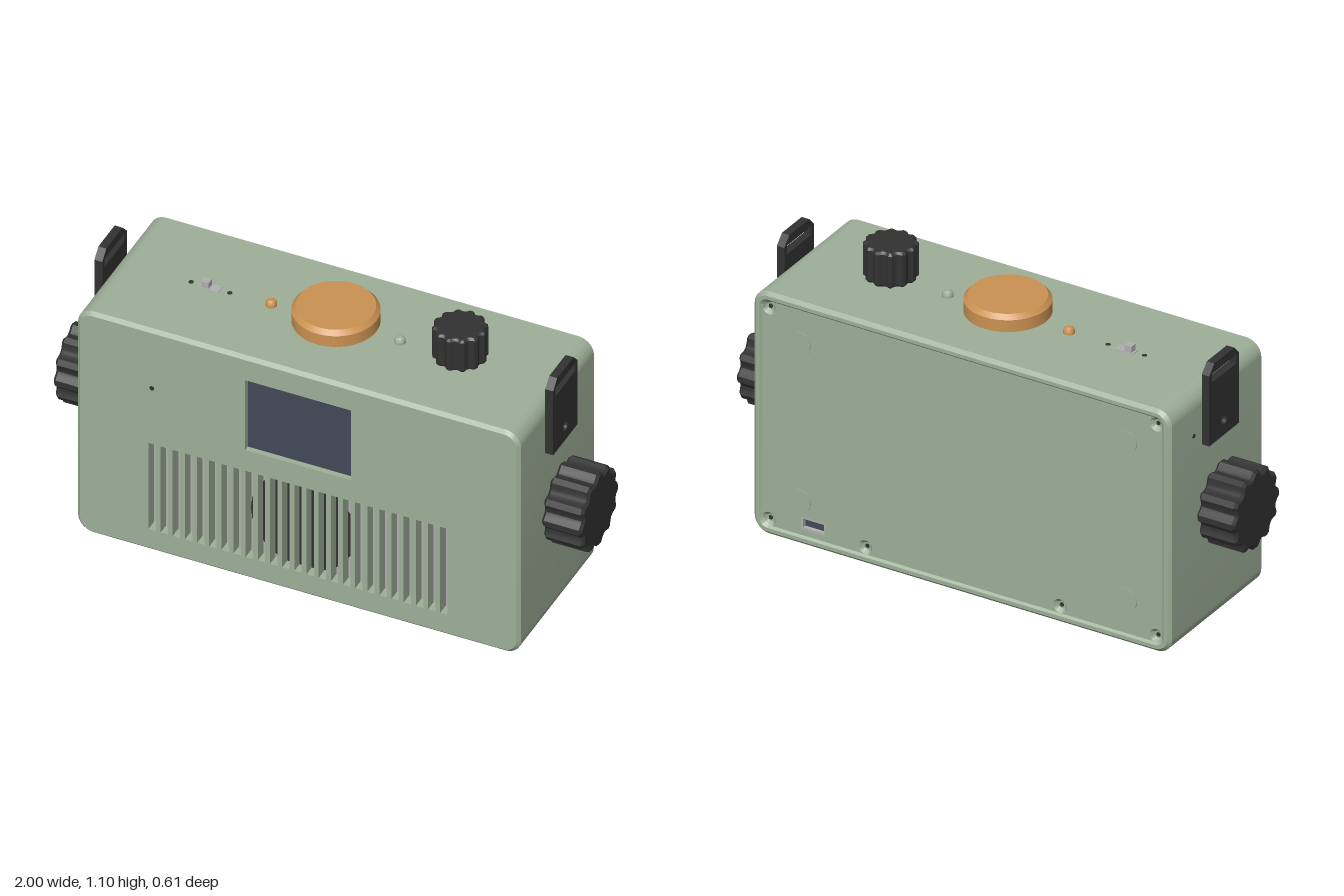
import * as THREE from 'three';
import { toCreasedNormals } from 'three/addons/utils/BufferGeometryUtils.js';

const W = 0.838, Y0 = 0.003, Y1 = 0.954, ZF = 0.304, ZB = -0.304;

const material = (name, color) => {
  const m = new THREE.MeshStandardMaterial({ color });
  m.name = name;
  return m;
};
const green = material('sage green', 0x9daf98);
const dark = material('charcoal', 0x323232);
const orange = material('orange', 0xcb9253);
const grey = material('light grey', 0xb0b0b0);
const glass = material('screen blue grey', 0x414a58);

// Closed outline of a rectangle with rounded corners
function roundedRect(x0, y0, x1, y1, r, Type = THREE.Shape) {
  const s = new Type();
  s.moveTo(x0 + r, y0).lineTo(x1 - r, y0);
  s.absarc(x1 - r, y0 + r, r, -Math.PI / 2, 0);
  s.absarc(x1 - r, y1 - r, r, 0, Math.PI / 2);
  s.absarc(x0 + r, y1 - r, r, Math.PI / 2, Math.PI);
  s.absarc(x0 + r, y0 + r, r, Math.PI, Math.PI * 1.5);
  s.closePath();
  return s;
}
const bodyOutline = (inset, Type) =>
  roundedRect(-W + inset, Y0 + inset, W - inset, Y1 - inset, Math.max(0.06 - inset, 0.02), Type);
const rectHole = (x, y, w, h) => new THREE.Path([
  [x - w / 2, y - h / 2], [x + w / 2, y - h / 2], [x + w / 2, y + h / 2], [x - w / 2, y + h / 2],
].map(([a, b]) => new THREE.Vector2(a, b))).closePath();
const circleHole = (x, y, r) => new THREE.Path().absarc(x, y, r, 0, Math.PI * 2);

// Extrusion from z = 0 to depth; the chamfer stays inside the outline
function extrude(shape, depth, bevel = 0) {
  const g = new THREE.ExtrudeGeometry(shape, {
    depth: depth - 2 * bevel, bevelEnabled: bevel > 0, bevelThickness: bevel, bevelSize: bevel,
    bevelOffset: -bevel, bevelSegments: 1, curveSegments: 10,
  });
  g.translate(0, 0, bevel);
  return toCreasedNormals(g, 0.5);
}
const lathe = (points, segments = 32) =>
  toCreasedNormals(new THREE.LatheGeometry(points.map(([r, y]) => new THREE.Vector2(r, y)), segments), 0.5);

// Knob outline: twelve narrow teeth with concave hollows between them
function knobShape(radius, hollow) {
  const pts = [], steps = [-0.14, 0.14, 0.24, 0.37, 0.5, 0.63, 0.76];
  for (let i = 0; i < 12; i++) {
    for (const t of steps) {
      const r = radius - (t > 0.14 ? hollow * Math.sin(Math.PI * (t - 0.14) / 0.72) : 0);
      const a = (i + t) * Math.PI / 6;
      pts.push(new THREE.Vector2(r * Math.cos(a), r * Math.sin(a)));
    }
  }
  return new THREE.Shape(pts);
}

export function createModel() {
  const model = new THREE.Group();
  model.name = 'portableRadio';
  const add = (name, geometry, mat, x = 0, y = 0, z = 0, parent = model) => {
    const m = new THREE.Mesh(geometry, mat);
    m.name = name;
    m.position.set(x, y, z);
    parent.add(m);
    return m;
  };
  // Thin round plate whose axis is x, y or z
  const disc = (name, r, t, mat, x, y, z, axis = 'y') => {
    const m = add(name, new THREE.CylinderGeometry(r, r, t, 28), mat, x, y, z);
    if (axis === 'z') m.rotation.x = Math.PI / 2;
    if (axis === 'x') m.rotation.z = Math.PI / 2;
    return m;
  };

  // Case: chamfered tube, open at both ends
  const tube = bodyOutline(0);
  tube.holes.push(bodyOutline(0.04, THREE.Path));
  add('caseShell', extrude(tube, ZF - ZB, 0.013), green, 0, 0, ZB);

  // Front panel with screen opening and speaker slots
  const front = bodyOutline(0.013);
  front.holes.push(rectHole(0, 0.705, 0.4, 0.3));
  for (let i = -12; i <= 12; i++) front.holes.push(rectHole(i * 0.046, 0.28, 0.028, 0.37));
  add('frontPanel', extrude(front, 0.045), green, 0, 0, ZF - 0.045);
  add('screen', new THREE.BoxGeometry(0.42, 0.32, 0.01), glass, 0, 0.705, ZF - 0.026);
  add('grilleBacking', new THREE.BoxGeometry(1.2, 0.42, 0.008), grey, 0, 0.28, ZF - 0.05);
  disc('speaker', 0.198, 0.006, dark, 0, 0.28, ZF - 0.045, 'z');
  disc('microphoneHole', 0.009, 0.003, dark, -0.553, 0.705, ZF, 'z');

  // Back panel, set slightly into the case, with screw and port openings
  const zPanel = ZB + 0.008;
  const screws = [[0.39, 0.065], [-0.39, 0.065]];
  for (const x of [-0.778, 0.778]) for (const y of [0.062, 0.893]) screws.push([x, y]);
  const back = bodyOutline(0.03);
  for (const [x, y] of screws) back.holes.push(circleHole(x, y, 0.027));
  back.holes.push(rectHole(0.6, 0.085, 0.1, 0.05));
  add('backPanel', extrude(back, 0.03), green, 0, 0, zPanel);
  for (const [x, y] of screws) {
    const dish = lathe([[0.027, 0], [0.014, -0.014], [0, -0.014]], 20);
    add('screwRecess', dish, green, x, y, zPanel).rotation.x = -Math.PI / 2;
    disc('screwSocket', 0.008, 0.002, dark, x, y, zPanel + 0.013, 'z');
  }
  const port = roundedRect(-0.05, -0.025, 0.05, 0.025, 0.004);
  port.holes.push(rectHole(0, 0, 0.084, 0.034));
  add('portFrame', extrude(port, 0.03), grey, 0.6, 0.085, zPanel + 0.002);
  add('portInside', new THREE.BoxGeometry(0.1, 0.05, 0.006), glass, 0.6, 0.085, zPanel + 0.02);

  // Round pads on the back and the underside
  for (const x of [-0.655, 0.655]) {
    for (const y of [0.17, 0.79]) disc('backPad', 0.044, 0.006, green, x, y, zPanel, 'z');
    for (const z of [-0.18, 0.18]) disc('footPad', 0.044, 0.006, green, x, 0.003, z);
  }

  // Large push button
  add('buttonStem', new THREE.CylinderGeometry(0.05, 0.05, 0.03, 28), orange, 0, 0.962, 0);
  add('bigButton', lathe([[0, 0.97], [0.153, 0.97], [0.153, 1.016], [0.138, 1.033], [0, 1.033]], 48), orange);

  // Indicator lamps
  const lamp = lathe([[0.02, 0], [0.02, 0.012], [0.016, 0.021], [0.009, 0.026], [0, 0.027]], 20);
  add('orangeLamp', lamp, orange, -0.245, Y1 - 0.002, 0);
  add('paleLamp', lamp, green, 0.242, Y1 - 0.002, 0);

  // Slide switch with its two pinholes
  add('switchPlate', new THREE.BoxGeometry(0.074, 0.006, 0.036), grey, -0.475, Y1, 0);
  add('switchLever', new THREE.BoxGeometry(0.028, 0.03, 0.028), grey, -0.49, Y1 + 0.012, 0);
  for (const x of [-0.548, -0.402]) disc('switchPinhole', 0.009, 0.003, dark, x, Y1, 0);

  // Top tuning knob
  add('topKnob', extrude(knobShape(0.096, 0.011), 0.136, 0.008), dark, 0.47, 0.966, 0).rotation.x = -Math.PI / 2;
  add('topKnobStem', new THREE.CylinderGeometry(0.03, 0.03, 0.03, 20), grey, 0.47, 0.962, 0);

  // Strap lug: clipped top corners, strap slot and screw hole
  const lug = new THREE.Shape([
    [-0.098, 0.738], [0.098, 0.738], [0.098, 1.013], [0.065, 1.048], [-0.065, 1.048], [-0.098, 1.013],
  ].map(([a, b]) => new THREE.Vector2(a, b)));
  lug.holes.push(rectHole(0, 0.997, 0.16, 0.034), circleHole(0, 0.796, 0.017));
  const lugGeometry = extrude(lug, 0.03);
  const sideKnob = extrude(knobShape(0.154, 0.019), 0.152, 0.01);

  // Mirrored side fittings, built facing +z and turned outward
  for (const s of [1, -1]) {
    const side = new THREE.Group();
    side.name = s > 0 ? 'leftSide' : 'rightSide';
    side.rotation.y = s * Math.PI / 2;
    model.add(side);
    add('strapLug', lugGeometry, dark, 0, 0, W, side);
    add('sideKnob', sideKnob, dark, 0, 0.48, 0.848, side);
    const collar = add('knobCollar', new THREE.CylinderGeometry(0.098, 0.098, 0.03, 32), dark, 0, 0.48, 0.845, side);
    collar.rotation.x = Math.PI / 2;
    disc('lugScrew', 0.015, 0.006, grey, s * W, 0.796, 0, 'x');
  }
  disc('sidePinhole', 0.008, 0.003, dark, -W, 0.795, -0.15, 'x');

  return model;
}
